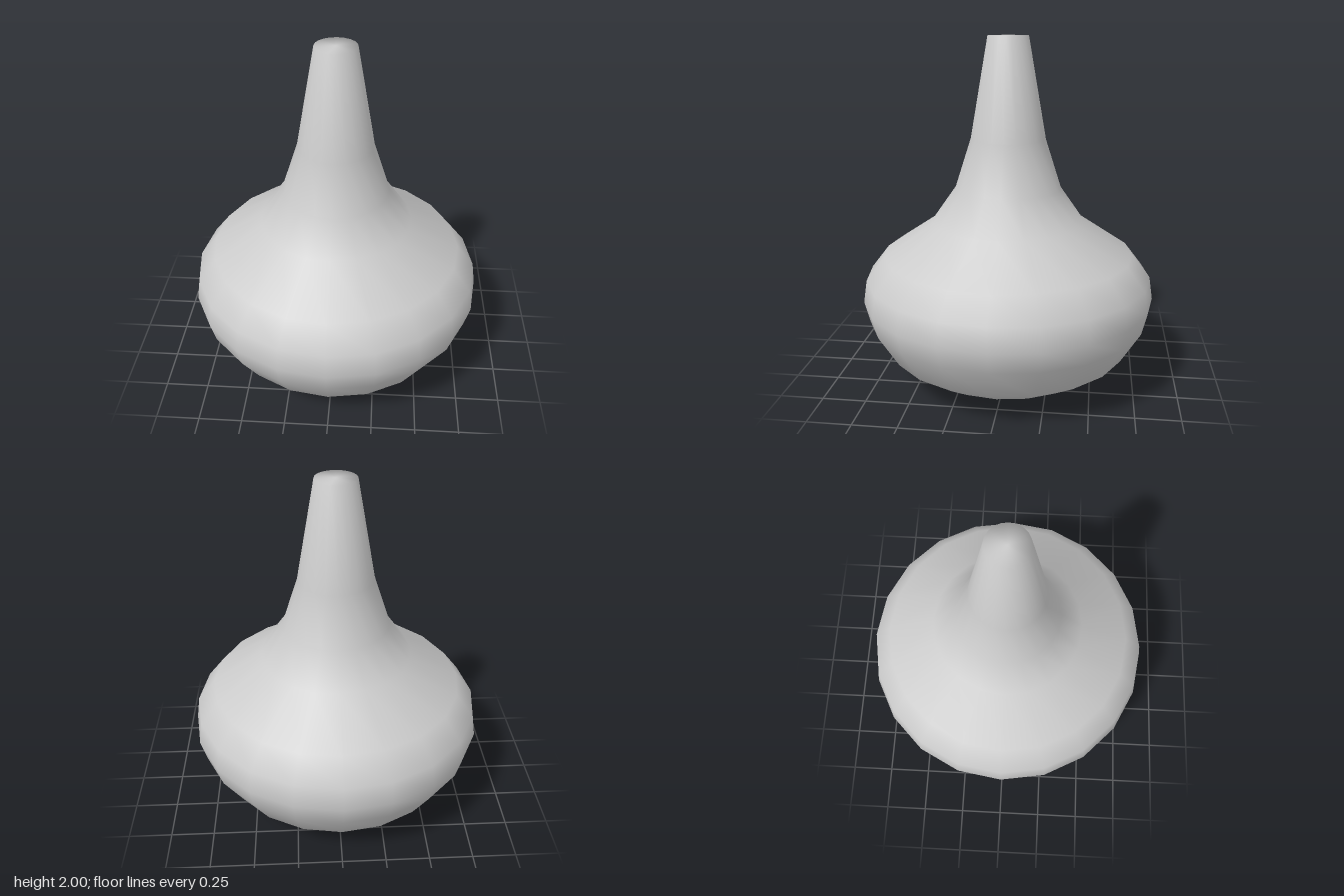
import * as THREE from 'three';

export function createModel() {
  const group = new THREE.Group();
  const material = new THREE.MeshStandardMaterial({ color: 0xcccccc });
  const sides = 20;

  // Bulbous body tapering into a tall neck, closed by a softly shaded tip
  const profile = [
    [0.21, 0], [0.54, 0.085], [0.705, 0.19], [0.82, 0.38], [0.85, 0.5], [0.83, 0.63],
    [0.725, 0.765], [0.44, 0.955], [0.307, 1.145], [0.215, 1.43], [0.115, 2], [0, 2],
  ].map(([r, y]) => new THREE.Vector2(r, y));
  const body = new THREE.Mesh(new THREE.LatheGeometry(profile, sides), material);
  body.name = 'vaseBody';
  group.add(body);

  // Flat underside
  const base = new THREE.Mesh(new THREE.CircleGeometry(0.21, sides).rotateX(Math.PI / 2), material);
  base.name = 'base';
  group.add(base);

  return group;
}
